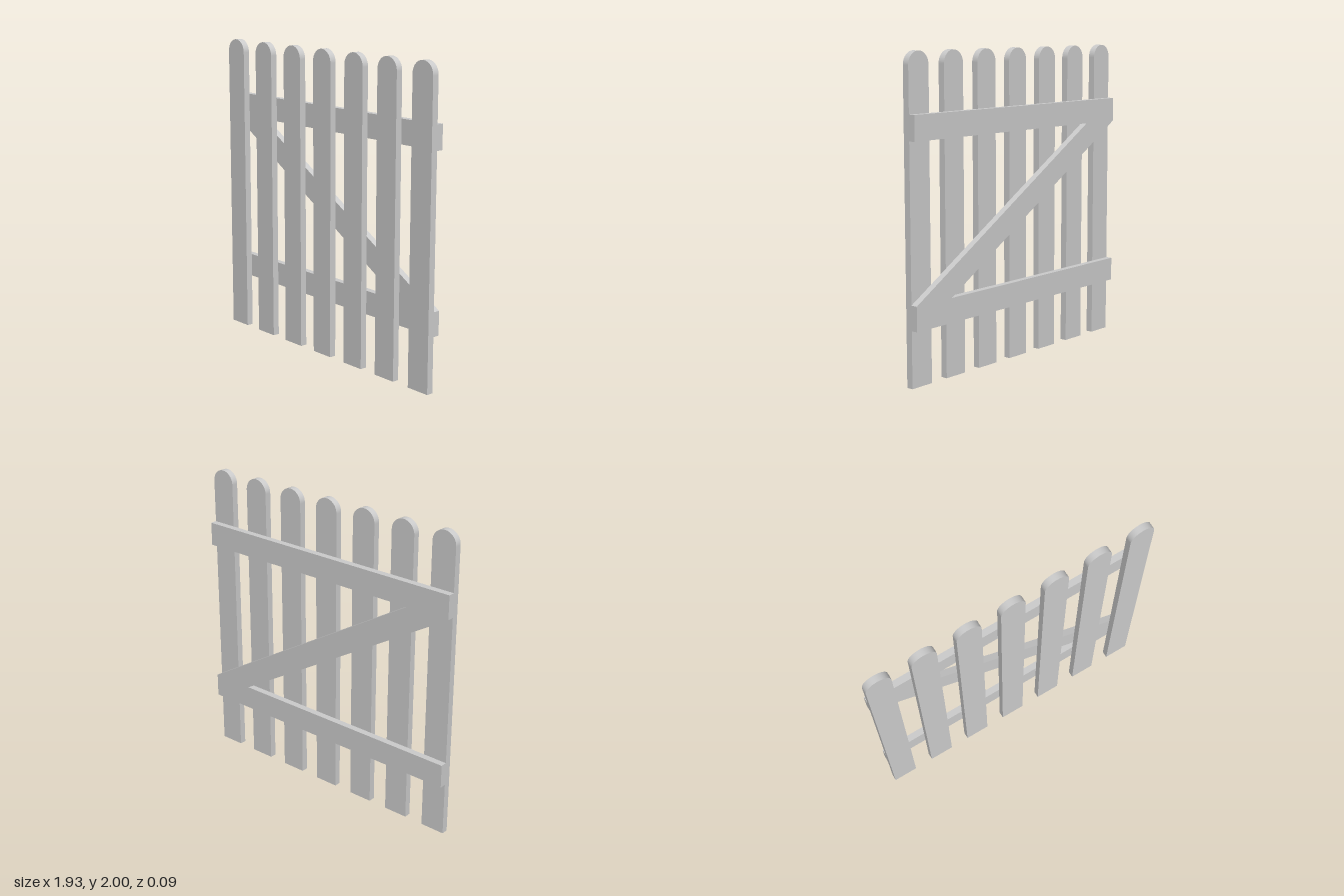
import * as THREE from 'three';

const HALF_W = 0.965; // half the gate width
const DEPTH = 0.044; // thickness of every board
const material = new THREE.MeshStandardMaterial({ color: 0xcccccc });

// Flat board cut from a shape, its back face at z
function board(name, shape, z) {
  const geometry = new THREE.ExtrudeGeometry(shape, { depth: DEPTH, bevelEnabled: false, curveSegments: 24 });
  const mesh = new THREE.Mesh(geometry, material);
  mesh.name = name;
  mesh.position.z = z;
  return mesh;
}

function polygon(points) {
  return new THREE.Shape(points.map(([x, y]) => new THREE.Vector2(x, y)));
}

export function createModel() {
  const gate = new THREE.Group();
  gate.name = 'picketGate';

  // Seven upright pickets with round tops
  const r = 0.0825, count = 7;
  const picketShape = new THREE.Shape();
  picketShape.moveTo(-r, 0);
  picketShape.lineTo(r, 0);
  picketShape.lineTo(r, 2 - r);
  picketShape.absarc(0, 2 - r, r, 0, Math.PI, false);
  picketShape.lineTo(-r, 0);
  const span = HALF_W - r;
  for (let i = 0; i < count; i++) {
    const picket = board(`picket${i + 1}`, picketShape, 0);
    picket.position.x = -span + (2 * span * i) / (count - 1);
    gate.add(picket);
  }

  // Two horizontal rails behind the pickets
  const rails = { lowerRail: [0.355, 0.51], upperRail: [1.48, 1.635] };
  for (const [name, [y0, y1]] of Object.entries(rails)) {
    const shape = polygon([[-HALF_W, y0], [HALF_W, y0], [HALF_W, y1], [-HALF_W, y1]]);
    gate.add(board(name, shape, -DEPTH));
  }

  // Diagonal brace, its ends cut level to meet the rails
  const cut = 0.3, low = rails.lowerRail[1], high = rails.upperRail[0];
  const braceShape = polygon([
    [HALF_W - cut, low], [HALF_W, low], [-HALF_W + cut, high], [-HALF_W, high],
  ]);
  gate.add(board('diagonalBrace', braceShape, -DEPTH));

  return gate;
}
